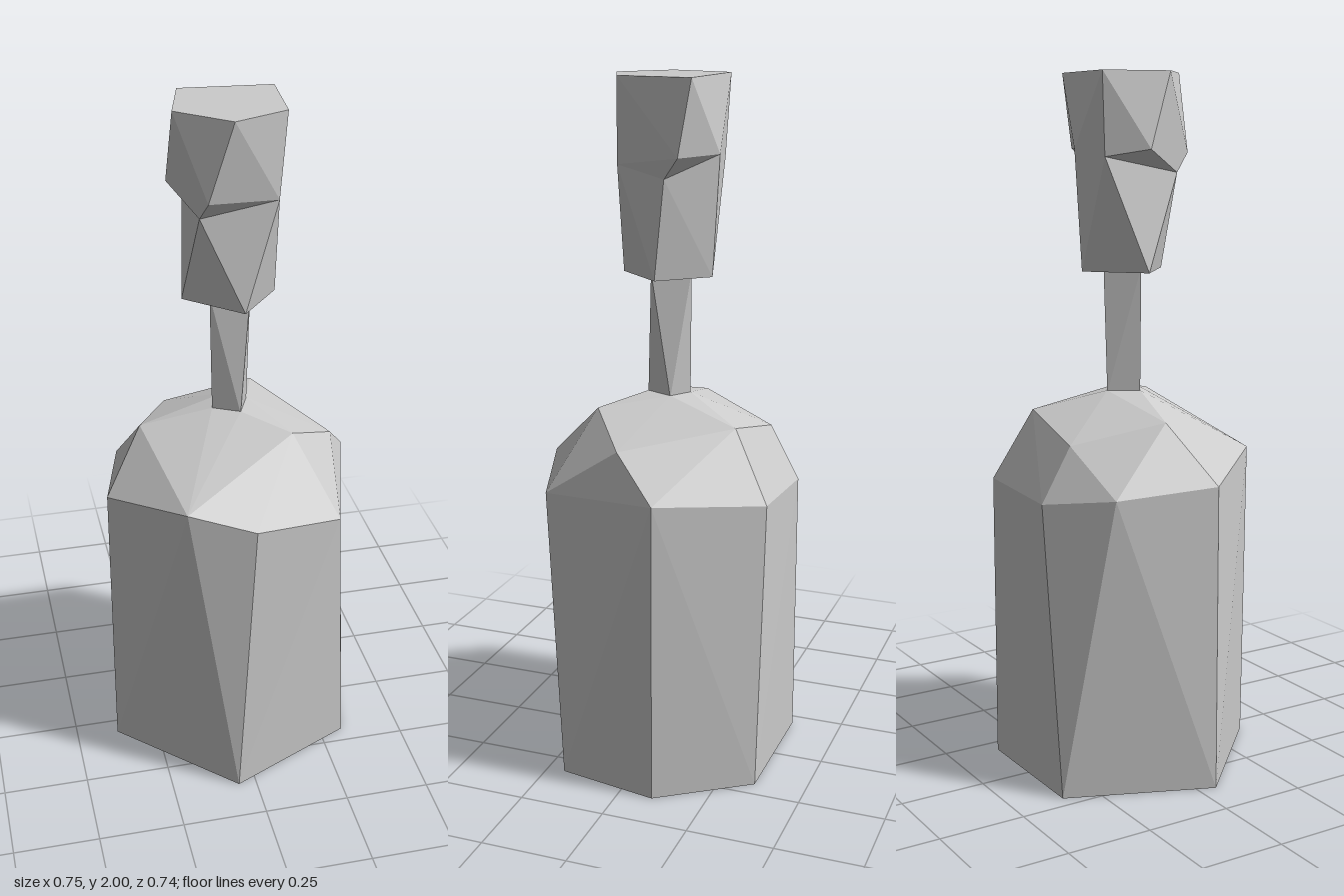
import * as THREE from 'three';
import { ConvexGeometry } from 'three/addons/geometries/ConvexGeometry.js';

const material = new THREE.MeshStandardMaterial({ color: 0xcccccc, flatShading: true });

// ring of [x, z] corners at one height
const ring = (y, corners) => corners.map(([x, z]) => new THREE.Vector3(x, y, z));
const points = (list) => list.map((p) => new THREE.Vector3(...p));

// faceted solid wrapped around rings of corners
function facetedPart(name, ...rings) {
  const mesh = new THREE.Mesh(new ConvexGeometry(rings.flat()), material);
  mesh.name = name;
  return mesh;
}

export function createModel() {
  const group = new THREE.Group();
  group.name = 'facetedBottle';

  // body: six-sided base, eight shoulder corners, domed top
  const neckBase = [[0.025, 0.04], [0.06, -0.04], [0, -0.08], [-0.05, 0]];
  const base = ring(0, [[-0.053, 0.37], [0.32, 0.197], [0.375, -0.1],
    [0.196, -0.353], [-0.207, -0.353], [-0.375, 0.053]]);
  const shoulder = points([
    [0.003, 0.89, 0.345], [0.267, 0.845, 0.261], [0.373, 0.88, -0.1], [0.17, 0.85, -0.365],
    [-0.135, 0.835, -0.37], [-0.3, 0.86, -0.232], [-0.372, 0.88, 0.053], [-0.182, 0.935, 0.285],
  ]);
  const dome = points([
    [0.152, 1.078, 0.145], [0.297, 1.0, 0.03], [0.124, 1.05, -0.257],
    [-0.14, 0.99, -0.283], [-0.255, 1.05, -0.045],
  ]);
  group.add(facetedPart('body', base, shoulder, dome, ring(1.107, neckBase)));

  // neck: tapers from four corners to three
  group.add(facetedPart('neck', ring(1.1, neckBase),
    ring(1.46, [[0.055, 0.02], [0.01, -0.085], [-0.055, 0]])));

  // cap: wide upper block over a narrower lower block, sharing a waist
  const frontRight = [0.115, 1.762, 0.095];
  const back = [0.023, 1.79, -0.17];
  const backLeft = [-0.1, 1.77, -0.145];
  const waist = [[-0.1, 1.725, 0.09], [0.14, 1.73, -0.05]];
  group.add(facetedPart('capTop',
    ring(2, [[-0.108, -0.157], [0.155, -0.133], [0.137, 0.086], [-0.018, 0.149], [-0.157, 0.03]]),
    points([[-0.085, 1.78, 0.135], [0.166, 1.79, -0.098], [-0.165, 1.79, -0.037],
      frontRight, back, backLeft, ...waist])));
  group.add(facetedPart('capBottom',
    ring(1.45, [[0.02, 0.115], [0.135, -0.02], [0.02, -0.15], [-0.13, -0.02]]),
    points([frontRight, back, backLeft, ...waist])));

  return group;
}
